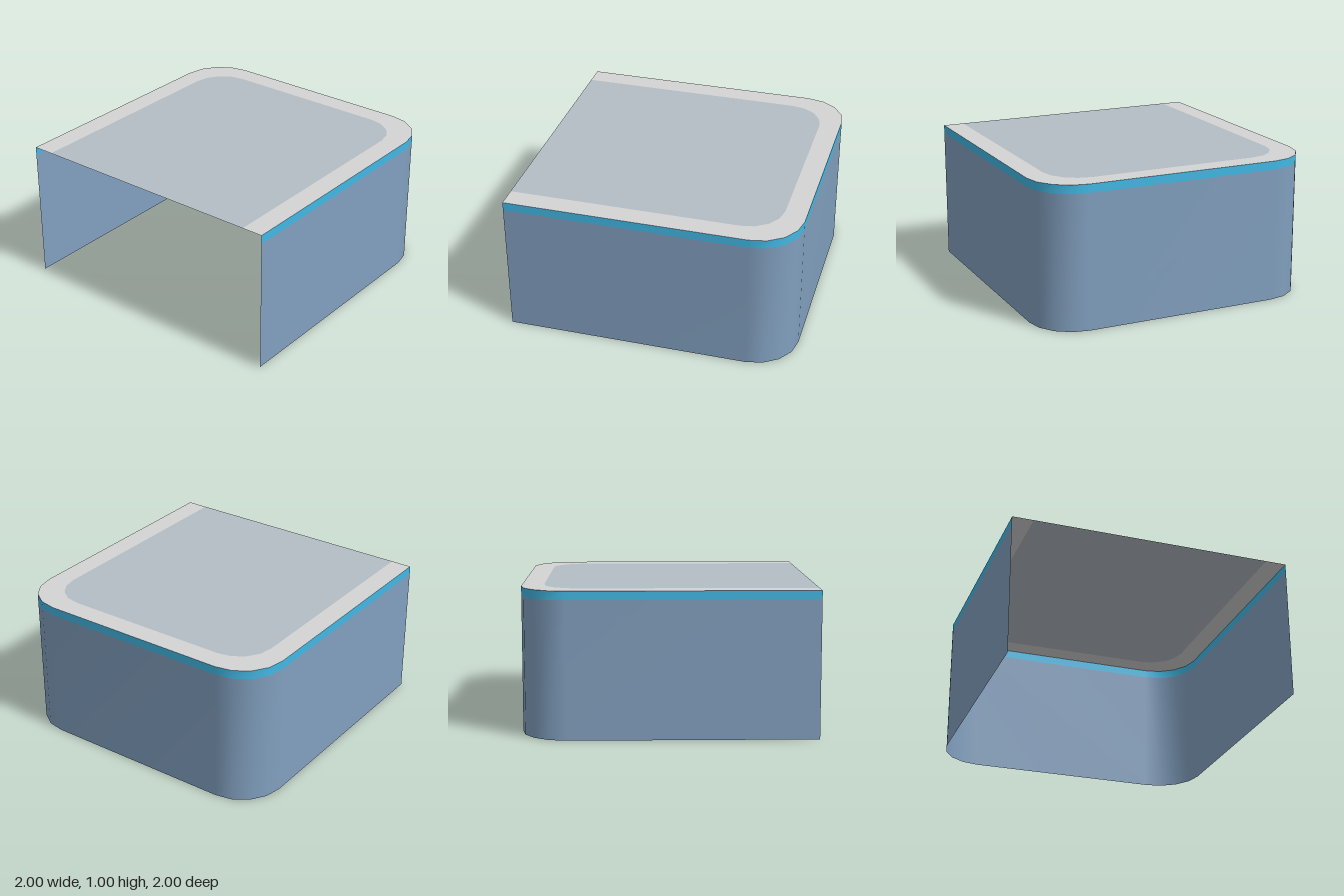
import * as THREE from 'three';

// Open-ended U outline: front edge, two rounded corners on +x, back edge. Points are (x, z).
function outline(half, radius, steps = 4) {
  const c = half - radius;
  const points = [new THREE.Vector2(-1, half)];
  for (const [start, cz] of [[Math.PI / 2, c], [0, -c]]) {
    for (let i = 0; i <= steps; i++) {
      const a = start - (i / steps) * Math.PI / 2;
      points.push(new THREE.Vector2(c + radius * Math.cos(a), cz + radius * Math.sin(a)));
    }
  }
  points.push(new THREE.Vector2(-1, -half));
  return points;
}

// Upright sheet that follows the outline between two heights
function wallGeometry(points, y0, y1) {
  const positions = [], index = [];
  points.forEach((p, i) => {
    positions.push(p.x, y0, p.y, p.x, y1, p.y);
    if (i < points.length - 1) {
      const a = i * 2;
      index.push(a, a + 2, a + 3, a, a + 3, a + 1);
    }
  });
  const geometry = new THREE.BufferGeometry();
  geometry.setAttribute('position', new THREE.Float32BufferAttribute(positions, 3));
  geometry.setIndex(index);
  geometry.computeVertexNormals();
  return geometry;
}

// Level sheet at the top of the walls
function flatGeometry(points) {
  return new THREE.ShapeGeometry(new THREE.Shape(points)).rotateX(-Math.PI / 2).translate(0, 1, 0);
}

export function createModel() {
  const group = new THREE.Group();
  const material = (name, color) =>
    new THREE.MeshStandardMaterial({ name, color, side: THREE.DoubleSide });
  const add = (name, geometry, mat) => {
    const mesh = new THREE.Mesh(geometry, mat);
    mesh.name = name;
    group.add(mesh);
  };

  const outer = outline(1, 0.31);
  const inner = outline(0.85, 0.25);

  // Walls with the bright band along their top edge
  add('wall', wallGeometry(outer, 0, 0.94), material('slate blue', 0x819fbe));
  add('topBand', wallGeometry(outer, 0.94, 1), material('bright blue', 0x42b8e4));

  // Roof: pale border on three sides around the grey panel
  add('roofBorder', flatGeometry([...outer, ...[...inner].reverse()]), material('pale grey', 0xd4d4d4));
  add('roofPanel', flatGeometry(inner), material('blue grey', 0xb5bec5));

  return group;
}
